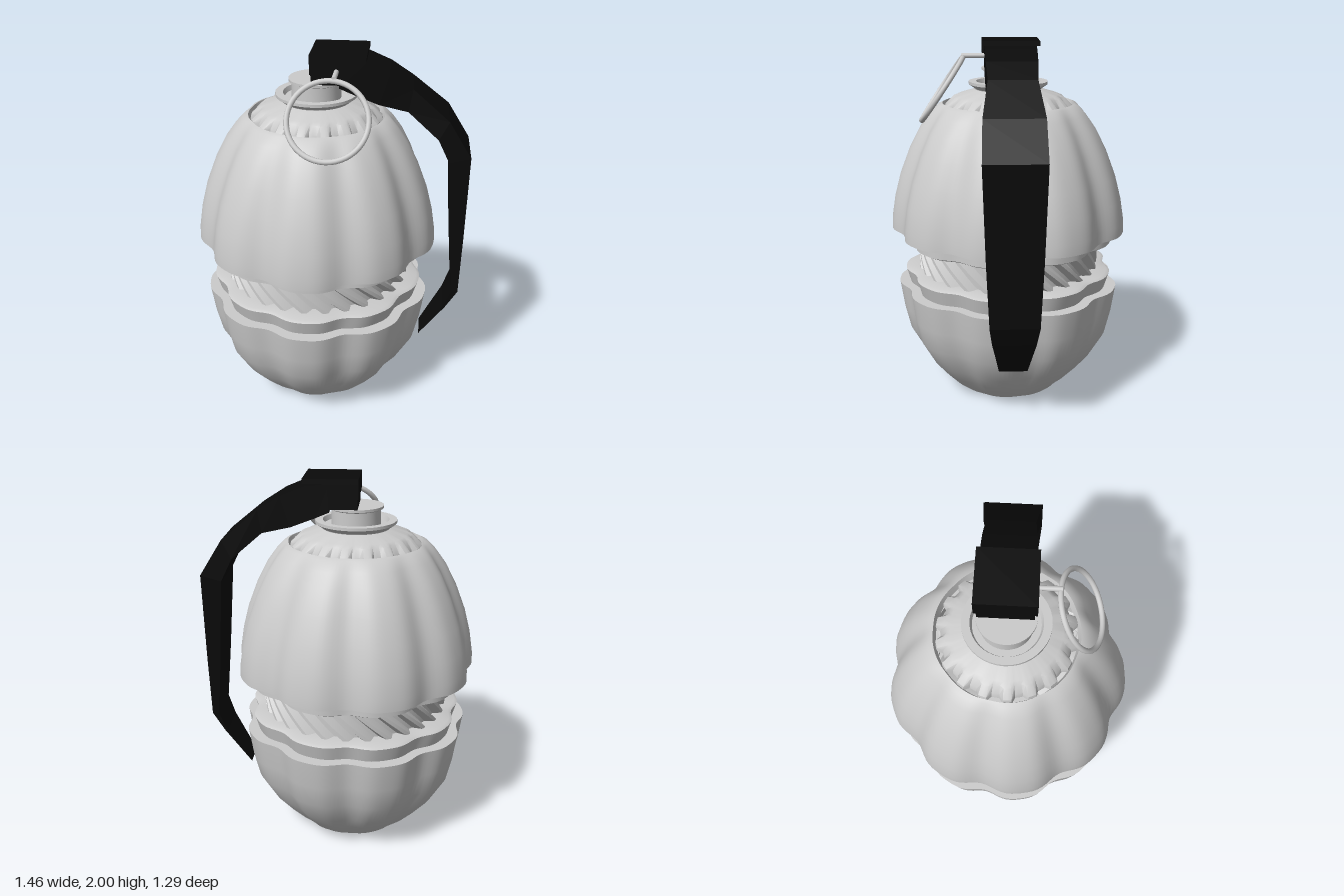
import * as THREE from 'three';
import { toCreasedNormals } from 'three/addons/utils/BufferGeometryUtils.js';

const CX = -0.08; // axis of the body
const grey = new THREE.MeshStandardMaterial({ color: 0xcccccc, side: THREE.DoubleSide });
const black = new THREE.MeshStandardMaterial({ color: 0x0a0a0a, side: THREE.DoubleSide });

// Lathe whose radius is cut by groove(angle) * depth; profile rows are [radius, y, depth, twist]
function fluted(profile, segs, groove) {
  const pos = [], index = [];
  profile.forEach(([r, y, depth = 0, twist = 0]) => {
    for (let j = 0; j <= segs; j++) {
      const a = (j / segs) * Math.PI * 2;
      const rr = r * (1 - depth * groove(a));
      pos.push(rr * Math.sin(a + twist), y, rr * Math.cos(a + twist));
    }
  });
  const n = segs + 1;
  for (let i = 0; i < profile.length - 1; i++) {
    for (let j = 0; j < segs; j++) {
      const a = i * n + j, b = a + 1, c = b + n, d = a + n;
      if (profile[i][0] > 0) index.push(a, b, c);
      if (profile[i + 1][0] > 0) index.push(a, c, d);
      else if (profile[i][0] > 0) index.push(a, b, d);
    }
  }
  const g = new THREE.BufferGeometry();
  g.setAttribute('position', new THREE.Float32BufferAttribute(pos, 3));
  g.setIndex(index);
  return toCreasedNormals(g, 0.6);
}

// Bar lofted through rectangular sections [outerX, outerY, innerX, innerY, halfWidth]
function loftBar(sections, zc) {
  const rings = sections.map(([ox, oy, ix, iy, w]) => [
    [ox, oy, zc + w], [ox, oy, zc - w], [ix, iy, zc - w], [ix, iy, zc + w]]);
  const pos = [];
  const quad = (a, b, c, d) => [a, b, c, a, c, d].forEach((p) => pos.push(...p));
  for (let i = 0; i < rings.length - 1; i++) {
    for (let k = 0; k < 4; k++) {
      const m = (k + 1) % 4;
      quad(rings[i][k], rings[i + 1][k], rings[i + 1][m], rings[i][m]);
    }
  }
  quad(...rings[0]);
  quad(...rings[rings.length - 1].slice().reverse());
  const g = new THREE.BufferGeometry();
  g.setAttribute('position', new THREE.Float32BufferAttribute(pos, 3));
  g.computeVertexNormals();
  return g;
}

export function createModel() {
  const model = new THREE.Group();
  const add = (name, geometry, material, x = 0, y = 0, z = 0) => {
    const mesh = new THREE.Mesh(geometry, material);
    mesh.name = name;
    mesh.position.set(x, y, z);
    model.add(mesh);
    return mesh;
  };

  // Nine rounded lobes, one facing the front
  const lobes = (a) => Math.pow((1 - Math.cos(9 * a)) / 2, 2);

  // Lower shell with recessed base and stepped band
  add('lowerShell', fluted([
    [0, 0.1], [0.21, 0.1], [0.22, 0.05], [0.25, 0.045], [0.275, 0.005], [0.3, 0.005, 0.02],
    [0.355, 0.05, 0.035], [0.425, 0.125, 0.05], [0.495, 0.21, 0.06], [0.575, 0.35, 0.065],
    [0.605, 0.48, 0.065], [0.627, 0.635, 0.065], [0.565, 0.635, 0.06], [0.588, 0.715, 0.06],
    [0.57, 0.725, 0.06], [0.45, 0.725],
  ], 144, lobes), grey, CX);

  // Upper shell with its stepped band
  add('upperShell', fluted([
    [0.45, 0.89], [0.57, 0.89, 0.06], [0.588, 0.9, 0.06], [0.588, 0.96, 0.06],
    [0.657, 0.96, 0.065], [0.655, 1.02, 0.065], [0.635, 1.14, 0.065], [0.6, 1.27, 0.065],
    [0.545, 1.41, 0.065], [0.485, 1.525, 0.06], [0.43, 1.6, 0.05], [0.385, 1.645, 0.03],
    [0.36, 1.655, 0.01], [0.345, 1.61],
  ], 144, lobes), grey, CX);

  // Core with slanted ribs showing in the gap
  const ribs = (a) => {
    const t = ((a * 28) / (Math.PI * 2) + 1e-6) % 1;
    return t < 0.5 ? 0 : 1;
  };
  const core = [];
  for (let i = 0; i <= 5; i++) core.push([0.51, 0.71 + 0.038 * i, 0.09, 0.2 - 0.085 * i]);
  add('ribbedCore', fluted(core, 112, ribs), grey, CX);

  // Cap cone with notches around the rim
  const notches = (a) => (((a * 18) / (Math.PI * 2) + 1e-6) % 1 < 0.34 ? 1 : 0);
  add('notchedCap', fluted([
    [0.352, 1.61, 0.08], [0.345, 1.645, 0.08], [0.3, 1.688, 0.04], [0.27, 1.7], [0.17, 1.73],
  ], 108, notches), grey, CX);

  // Flared collar and the plug rising out of it
  const lathe = (pts) => toCreasedNormals(
    new THREE.LatheGeometry(pts.map((p) => new THREE.Vector2(...p)), 40), 0.6);
  add('collar', lathe([
    [0.17, 1.7], [0.18, 1.73], [0.215, 1.755], [0.215, 1.77], [0.175, 1.77], [0.165, 1.745], [0.1, 1.745],
  ]), grey, CX);
  add('plug', lathe([
    [0.13, 1.73], [0.13, 1.825], [0.145, 1.832], [0.145, 1.845], [0, 1.845],
  ]), grey, CX);

  // Lever head: block on the plug and top plate
  const zc = -0.005;
  add('leverHead', new THREE.BoxGeometry(0.15, 0.14, 0.27), black, -0.02, 1.915, zc);
  add('leverHeadPlate', new THREE.BoxGeometry(0.285, 0.025, 0.295), black, 0.0425, 1.9875, zc);
  add('leverHeadSkirt', new THREE.BoxGeometry(0.05, 0.08, 0.295), black, -0.075, 1.94, zc);

  // Long safety lever bending down the side
  add('lever', loftBar([
    [0.05, 1.975, 0.05, 1.83, 0.135], [0.18, 1.96, 0.12, 1.8, 0.133],
    [0.3, 1.91, 0.25, 1.75, 0.13], [0.42, 1.835, 0.4, 1.715, 0.122],
    [0.61, 1.68, 0.56, 1.58, 0.15], [0.73, 1.49, 0.62, 1.46, 0.155],
    [0.727, 1.0, 0.655, 1.0, 0.14], [0.722, 0.665, 0.685, 0.66, 0.125],
    [0.66, 0.55, 0.645, 0.55, 0.112], [0.53, 0.345, 0.52, 0.33, 0.075],
  ], zc), black);

  // Pull ring and its pin
  const ring = add('pullRing', new THREE.TorusGeometry(0.2, 0.014, 10, 48), grey, 0.015, 1.74, 0.355);
  ring.rotation.x = -0.6;
  const pin = add('pin', new THREE.CylinderGeometry(0.013, 0.013, 0.26, 12), grey, 0.035, 1.915, 0.12);
  pin.rotation.x = Math.PI / 2;

  return model;
}
